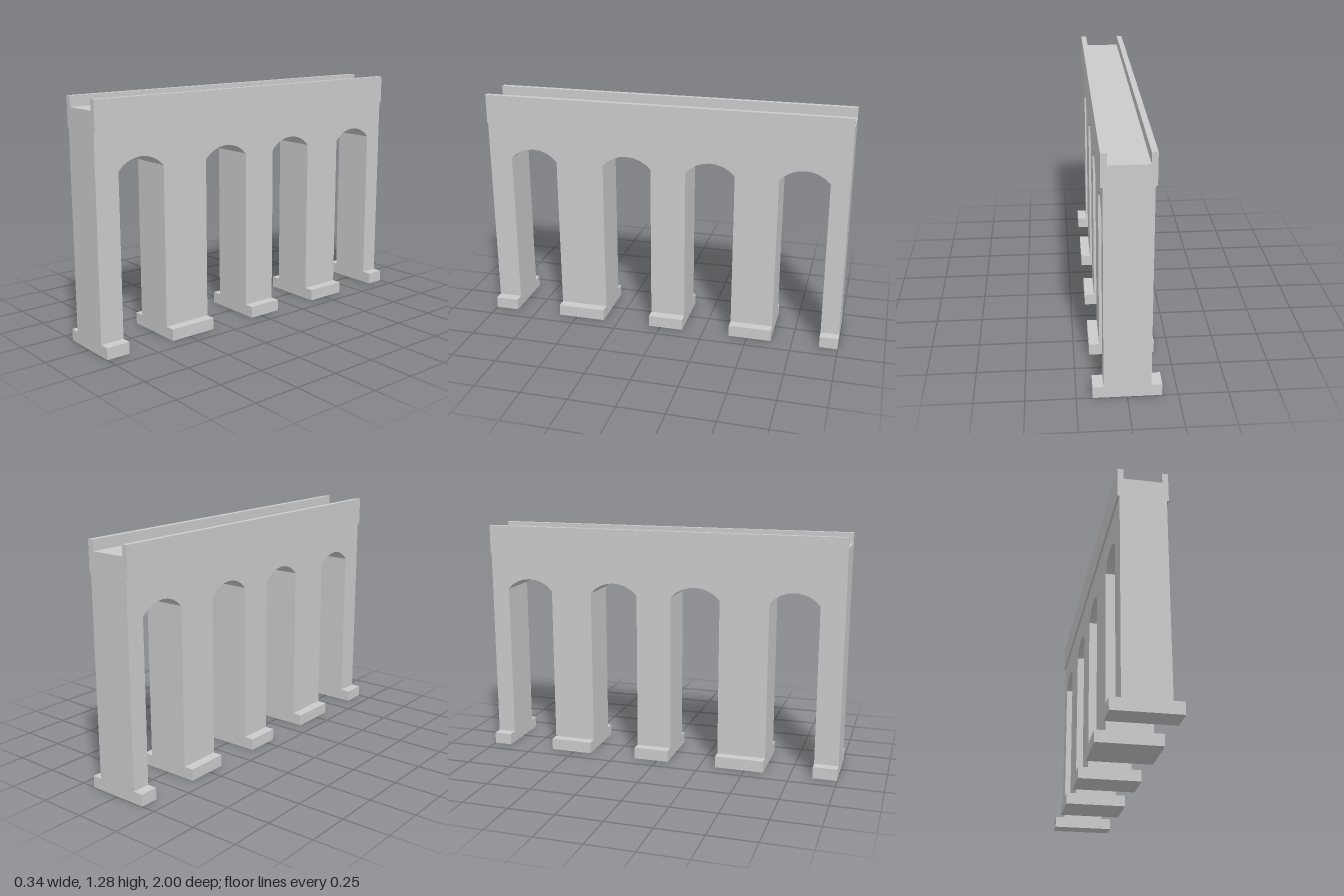
import * as THREE from 'three';

// Pier extents along z, front to back
const PIERS = [[1, 0.87], [0.604, 0.336], [0.064, -0.13], [-0.398, -0.633], [-0.9, -1]];
const BASE_TOP = 0.063, SPRING = 0.922, RISE = 0.061, DECK_BOTTOM = 1.12;
const ARCH_SEGMENTS = 8;

function extrude(name, shape, depth, material) {
  const geometry = new THREE.ExtrudeGeometry(shape, { depth, bevelEnabled: false });
  geometry.translate(0, 0, -depth / 2);
  const mesh = new THREE.Mesh(geometry, material);
  mesh.name = name;
  return mesh;
}

export function createModel() {
  const group = new THREE.Group();
  group.name = 'viaduct';
  const material = new THREE.MeshStandardMaterial({ color: 0xcccccc, flatShading: true });

  // Arcaded wall: outline drawn along the length (u = -z), extruded across x
  const outline = new THREE.Shape();
  outline.moveTo(-1, DECK_BOTTOM);
  PIERS.forEach(([front, back], i) => {
    outline.lineTo(-front, BASE_TOP);
    outline.lineTo(-back, BASE_TOP);
    if (i === PIERS.length - 1) return;
    // Segmental arch over to the next pier
    const next = PIERS[i + 1][0];
    const half = (back - next) / 2, middle = -(back + next) / 2;
    const radius = (half * half + RISE * RISE) / (2 * RISE);
    const sweep = Math.asin(half / radius);
    for (let k = 0; k <= ARCH_SEGMENTS; k++) {
      const a = sweep * (2 * k / ARCH_SEGMENTS - 1);
      outline.lineTo(middle + radius * Math.sin(a), SPRING + RISE - radius * (1 - Math.cos(a)));
    }
  });
  outline.lineTo(1, DECK_BOTTOM);
  outline.closePath();
  const wall = extrude('arcadeWall', outline, 0.234, material);
  wall.rotation.y = Math.PI / 2;
  group.add(wall);

  // Deck with a raised parapet on each side
  const section = new THREE.Shape([
    [-0.127, DECK_BOTTOM], [0.127, DECK_BOTTOM], [0.127, 1.28], [0.097, 1.28],
    [0.097, 1.225], [-0.097, 1.225], [-0.097, 1.28], [-0.127, 1.28],
  ].map(([x, y]) => new THREE.Vector2(x, y)));
  group.add(extrude('deckWithParapets', section, 2, material));

  // Footing under each pier
  PIERS.forEach(([front, back], i) => {
    const footing = new THREE.Mesh(new THREE.BoxGeometry(0.341, BASE_TOP, front - back), material);
    footing.position.set(0, BASE_TOP / 2, (front + back) / 2);
    footing.name = `footing${i + 1}`;
    group.add(footing);
  });

  return group;
}
